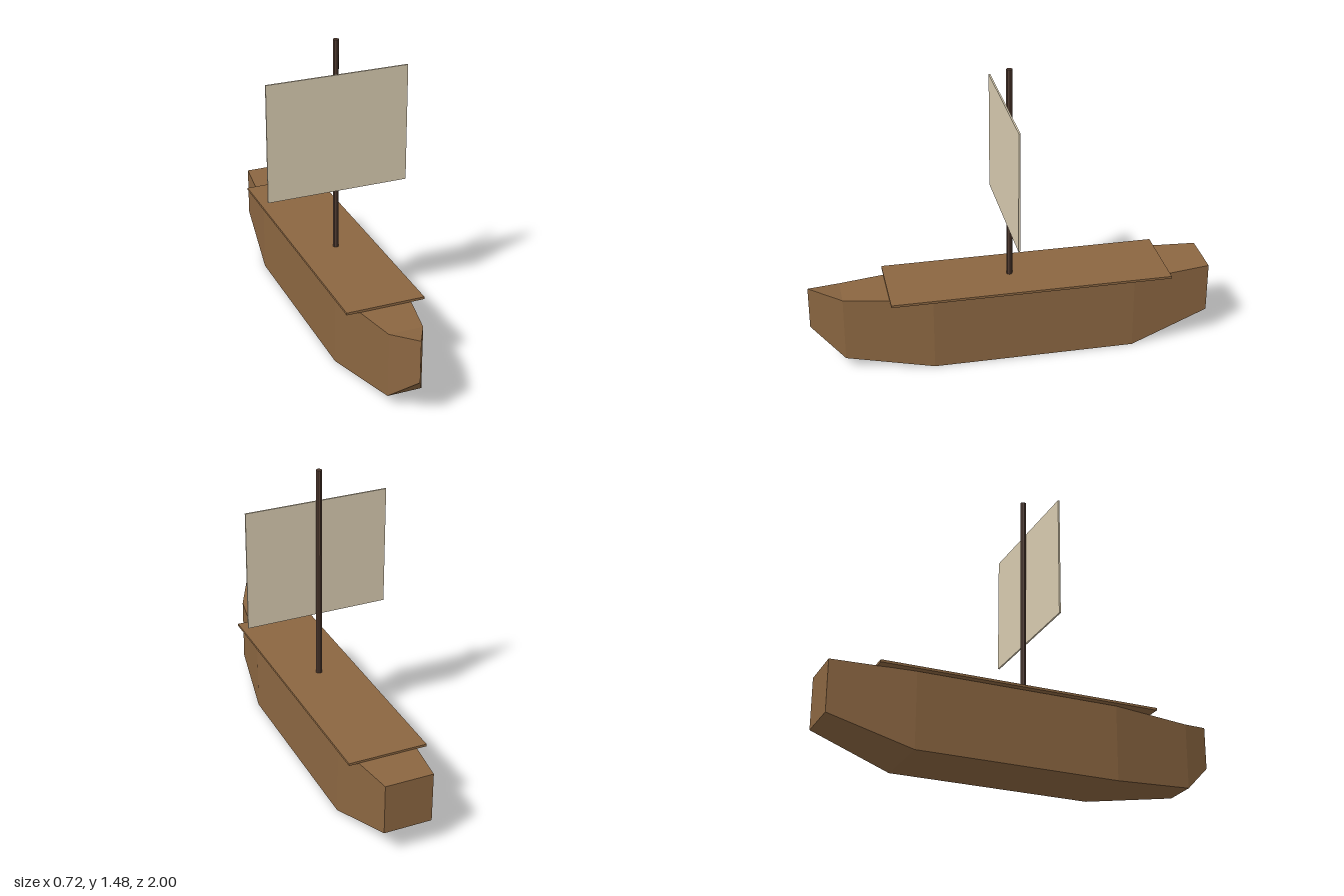
import * as THREE from 'three';

const wood = new THREE.MeshStandardMaterial({ name: 'hull wood', color: 0x8b6641 });
const darkWood = new THREE.MeshStandardMaterial({ name: 'mast wood', color: 0x513c31 });
const canvas = new THREE.MeshStandardMaterial({ name: 'sail canvas', color: 0xd8cbb0 });
wood.flatShading = darkWood.flatShading = true;

// Rectangular cross-sections from stern to stem: z, half width, bottom, top
const sections = [
  [-1.0, 0.12, 0.13, 0.385],
  [-0.6, 0.17, 0.0, 0.375],
  [0.41, 0.17, 0.0, 0.375],
  [0.84, 0.085, 0.05, 0.38],
  [1.0, 0.0, 0.2, 0.417],
];

function hullGeometry() {
  const rings = sections.map(([z, w, b, t]) => [[-w, b, z], [w, b, z], [w, t, z], [-w, t, z]]);
  const pos = [];
  const quad = (a, b, c, d) => pos.push(...a, ...b, ...c, ...a, ...c, ...d);
  for (let s = 0; s < rings.length - 1; s++) {
    const p = rings[s], q = rings[s + 1];
    for (let i = 0; i < 4; i++) {
      const j = (i + 1) % 4;
      quad(p[i], p[j], q[j], q[i]);
    }
  }
  quad(...[...rings[0]].reverse()); // flat transom
  const geo = new THREE.BufferGeometry();
  geo.setAttribute('position', new THREE.Float32BufferAttribute(pos, 3));
  geo.computeVertexNormals();
  return geo;
}

export function createModel() {
  const boat = new THREE.Group();
  boat.name = 'sailingBoat';
  const add = (name, geo, material, x, y, z) => {
    const mesh = new THREE.Mesh(geo, material);
    mesh.name = name;
    mesh.position.set(x, y, z);
    boat.add(mesh);
  };

  add('hull', hullGeometry(), wood, 0, 0, 0);
  // Deck board overhanging the hull sides
  add('deck', new THREE.BoxGeometry(0.392, 0.012, 1.4), wood, 0, 0.384, -0.083);
  add('mast', new THREE.CylinderGeometry(0.015, 0.015, 1.1, 8), darkWood, 0, 0.93, 0);
  // Square sail hung just ahead of the mast
  add('sail', new THREE.BoxGeometry(0.72, 0.604, 0.008), canvas, 0, 1.011, 0.026);
  return boat;
}
